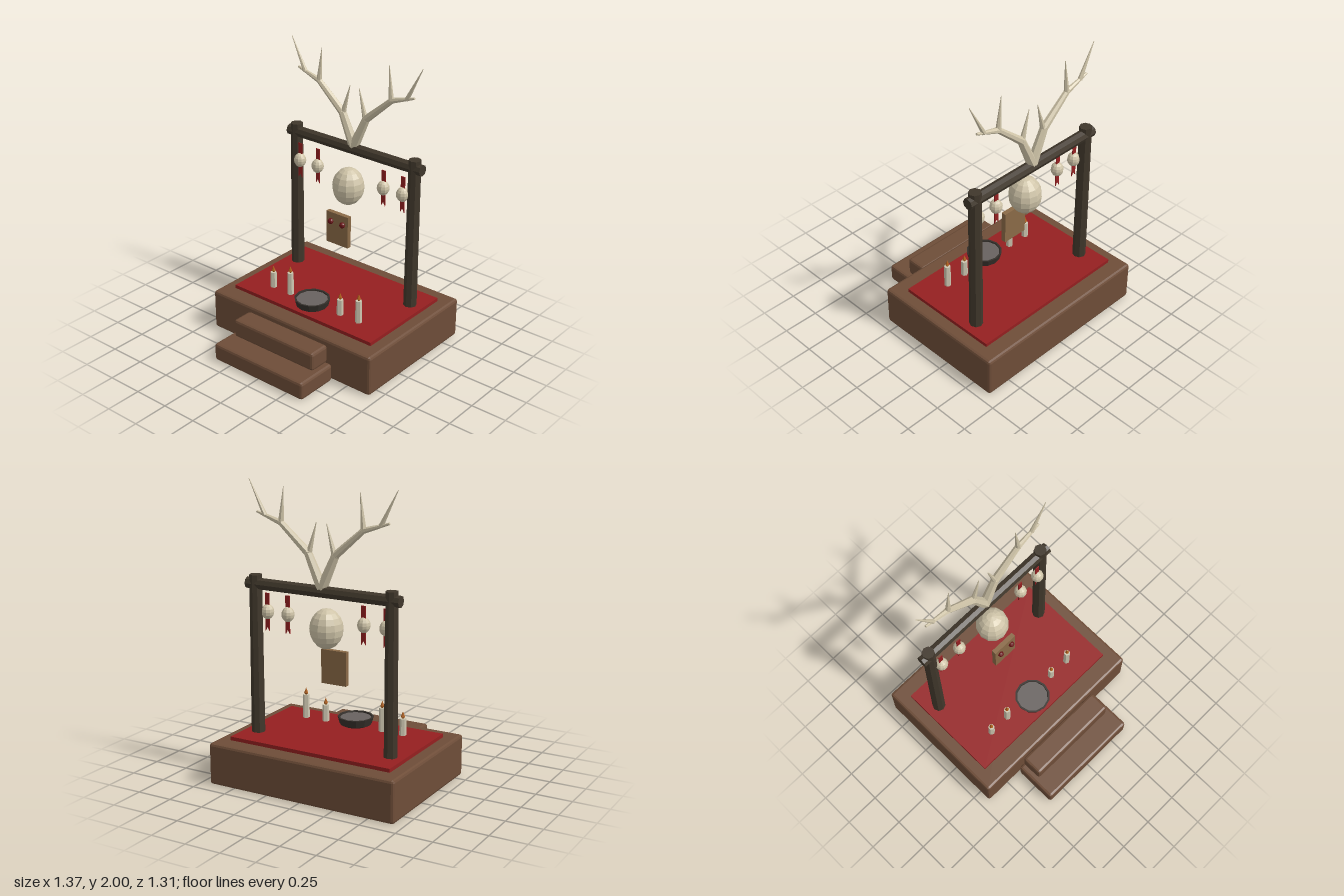
import * as THREE from 'three';
import { RoundedBoxGeometry } from 'three/addons/geometries/RoundedBoxGeometry.js';

const mat = (name, color, side = THREE.FrontSide) => {
  const m = new THREE.MeshStandardMaterial({ color, side, flatShading: true });
  m.name = name;
  return m;
};

export function createModel() {
  const root = new THREE.Group();
  root.name = 'shrine';
  const wood = mat('brown wood', 0x6e4d38);
  const darkWood = mat('dark timber', 0x40372b);
  const red = mat('red cloth', 0x951f20, THREE.DoubleSide);
  const bone = mat('bone', 0xcfc4a8);
  const plank = mat('tan plank', 0x8a6a47);
  const berry = mat('dark red', 0x6a1216);
  const iron = mat('dark iron', 0x35302b);
  const ash = mat('grey ash', 0x686260);
  const wax = mat('candle wax', 0xcdc6b0);
  const fire = mat('flame orange', 0xb0601c);

  const add = (name, geo, material, x = 0, y = 0, z = 0, parent = root) => {
    const m = new THREE.Mesh(geo, material);
    m.name = name;
    m.position.set(x, y, z);
    parent.add(m);
    return m;
  };

  // Bevelled plinth and two front steps
  const slab = (name, w, y0, y1, z0, z1) =>
    add(name, new RoundedBoxGeometry(w, y1 - y0, z1 - z0, 1, 0.018), wood, 0, (y0 + y1) / 2, (z0 + z1) / 2);
  slab('plinth', 1.37, 0, 0.285, -0.655, 0.34);
  slab('lowerStep', 0.77, 0, 0.125, 0.345, 0.655);
  slab('upperStep', 0.69, 0.125, 0.255, 0.345, 0.5);

  // Cloth on the plinth
  add('cloth', new THREE.BoxGeometry(1.19, 0.03, 0.75), red, 0, 0.295, -0.16);

  // Gate of two posts and a beam
  const gateZ = -0.345;
  for (const s of [-1, 1]) {
    add(s > 0 ? 'leftPost' : 'rightPost', new THREE.CylinderGeometry(0.042, 0.046, 1.08, 8), darkWood, s * 0.5, 0.84, gateZ);
  }
  add('beam', new THREE.CylinderGeometry(0.039, 0.039, 1.125, 8), darkWood, 0, 1.32, gateZ).rotation.z = Math.PI / 2;

  // Tapered limb between two points in the plane of the gate
  const limb = (name, [ax, ay], [bx, by], ra, rb, parent) => {
    const a = new THREE.Vector3(ax, ay, gateZ);
    const d = new THREE.Vector3(bx, by, gateZ).sub(a);
    const m = add(name, new THREE.CylinderGeometry(rb, ra, d.length(), 7), bone, 0, 0, 0, parent);
    m.position.copy(a).addScaledVector(d, 0.5);
    m.quaternion.setFromUnitVectors(new THREE.Vector3(0, 1, 0), d.normalize());
  };

  // Antlers: a bent stem with three tines on each side
  for (const s of [-1, 1]) {
    const antler = new THREE.Group();
    antler.name = s > 0 ? 'leftAntler' : 'rightAntler';
    root.add(antler);
    const stem = [[0, 1.34], [0.1, 1.56], [0.3, 1.735], [0.48, 1.793]];
    const radii = [0.036, 0.027, 0.02, 0.008];
    for (let i = 0; i < 3; i++) {
      const [a, b] = [stem[i], stem[i + 1]].map(([x, y]) => [s * x, y]);
      limb('stem', a, b, radii[i], radii[i + 1], antler);
      if (i < 2) add('stemJoint', new THREE.SphereGeometry(radii[i + 1], 7, 5), bone, b[0], b[1], gateZ, antler);
    }
    const tines = [[0.095, 1.55, 0.037, 1.76, 0.02], [0.3, 1.735, 0.277, 1.967, 0.019], [0.42, 1.772, 0.537, 2, 0.016]];
    for (const [ax, ay, bx, by, r] of tines) limb('tine', [s * ax, ay], [s * bx, by], r, 0.002, antler);
  }

  // Large hanging skull form
  add('skull', new THREE.SphereGeometry(1, 12, 10), bone, 0, 1.067, -0.29).scale.set(0.11, 0.133, 0.11);

  // Plaque with two beads
  add('plaque', new THREE.BoxGeometry(0.185, 0.23, 0.033), plank, 0, 0.785, -0.188);
  for (const s of [-1, 1]) add('plaqueBead', new THREE.SphereGeometry(0.021, 8, 6), berry, s * 0.05, 0.835, -0.165);

  // Swallow-tailed ribbons with bone beads
  const ribbon = new THREE.Shape();
  [[-0.016, 0.125], [0.016, 0.125], [0.016, -0.13], [0, -0.1], [-0.016, -0.13]]
    .forEach(([x, y], i) => (i ? ribbon.lineTo(x, y) : ribbon.moveTo(x, y)));
  const ribbonGeo = new THREE.ExtrudeGeometry(ribbon, { depth: 0.006, bevelEnabled: false });
  for (const x of [-0.44, -0.282, 0.28, 0.437]) {
    add('ribbon', ribbonGeo, red, x, 1.13, -0.312);
    add('ribbonBead', new THREE.SphereGeometry(1, 10, 8), bone, x, 1.13, -0.306).scale.set(0.043, 0.051, 0.043);
  }

  // Offering bowl filled with ash
  const profile = [[0, 0.312], [0.093, 0.312], [0.11, 0.322], [0.123, 0.372], [0.11, 0.372], [0.106, 0.35], [0, 0.35]]
    .map(([x, y]) => new THREE.Vector2(x, y));
  add('bowl', new THREE.LatheGeometry(profile, 12), iron, 0, 0, 0.09);
  add('ash', new THREE.CylinderGeometry(0.109, 0.107, 0.009, 12), ash, 0, 0.358, 0.09);

  // Candles with pointed flames
  const flame = [[0, -0.027], [0.014, -0.008], [0, 0.03]].map(([x, y]) => new THREE.Vector2(x, y));
  for (const [x, top] of [[-0.375, 0.425], [-0.22, 0.473], [0.218, 0.425], [0.375, 0.473]]) {
    add('candle', new THREE.CylinderGeometry(0.022, 0.024, top - 0.305, 6), wax, x, (top + 0.305) / 2, 0.06);
    add('flame', new THREE.LatheGeometry(flame, 6), fire, x, top + 0.02, 0.06);
  }
  return root;
}
